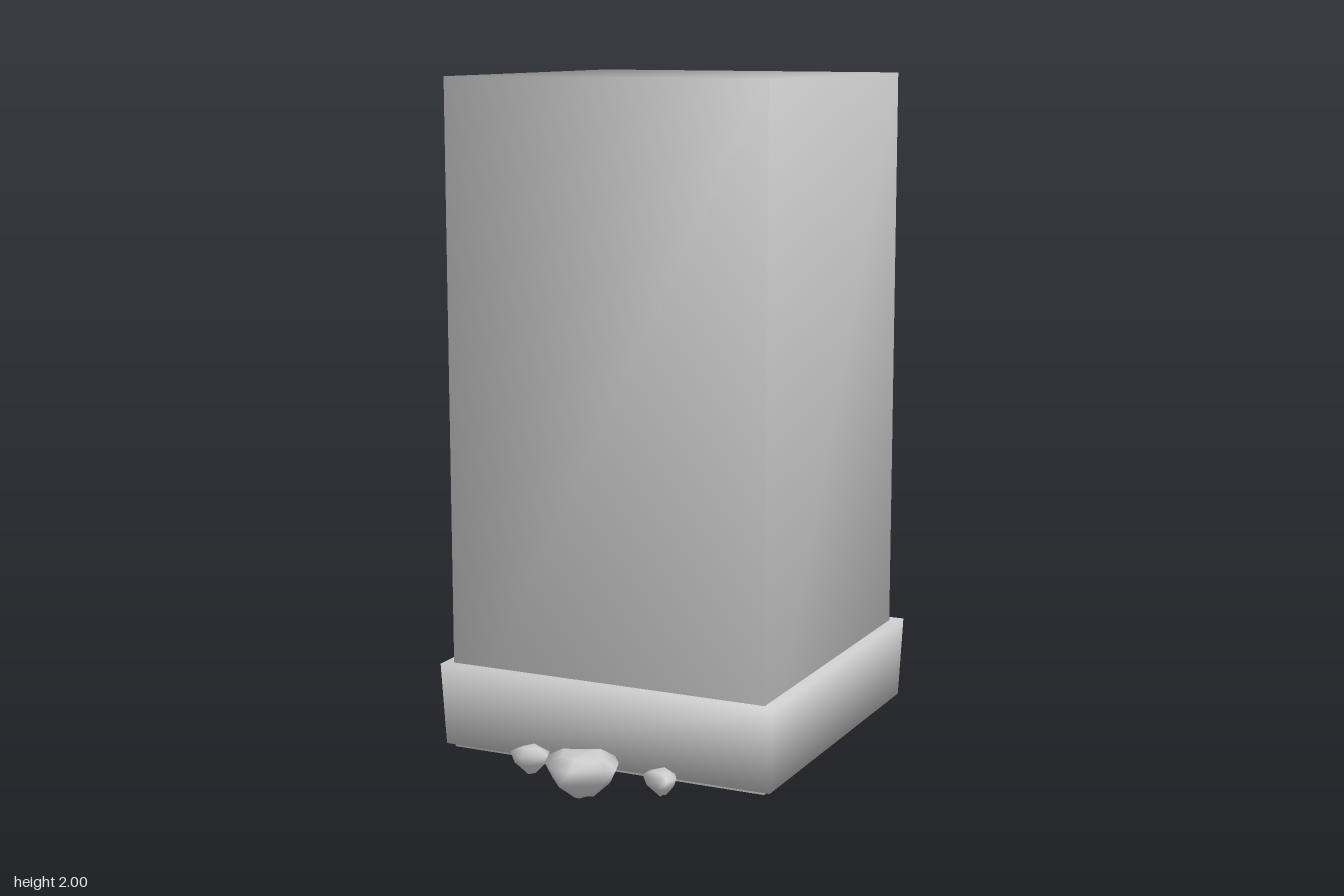
import * as THREE from 'three';
import { mergeVertices } from 'three/addons/utils/BufferGeometryUtils.js';

const stone = new THREE.MeshStandardMaterial({ color: 0xcccccc });
stone.name = 'pale stone';

// Box whose corners share one averaged normal, with an optional narrower foot
function softBox(width, y0, y1, footScale = 1) {
  let geo = new THREE.BoxGeometry(width, y1 - y0, width);
  const pos = geo.attributes.position;
  for (let i = 0; i < pos.count; i++) {
    if (pos.getY(i) < 0) {
      pos.setX(i, pos.getX(i) * footScale);
      pos.setZ(i, pos.getZ(i) * footScale);
    }
  }
  geo.translate(0, (y0 + y1) / 2, 0);
  geo.deleteAttribute('uv');
  geo.deleteAttribute('normal');
  geo = mergeVertices(geo);
  geo.computeVertexNormals();
  return geo;
}

// Faceted pebble: an outline (counterclockwise from above) stacked in scaled rings
function rockGeometry(outline, y0, y1) {
  const n = outline.length;
  const cx = outline.reduce((s, p) => s + p[0], 0) / n;
  const cz = outline.reduce((s, p) => s + p[1], 0) / n;
  const rings = [[0.06, 0.3], [0.42, 0.8], [0.8, 1], [0.97, 0.55]];
  const verts = [];
  const faces = [];
  rings.forEach(([t, s], r) => {
    outline.forEach(([x, z], i) => {
      const wobble = r === 2 ? 0 : 0.05 * Math.sin(i * 2.3 + r);
      verts.push(cx + (x - cx) * s, y0 + (y1 - y0) * (t + wobble), cz + (z - cz) * s);
      if (r < rings.length - 1) {
        const a = r * n + i, b = r * n + (i + 1) % n;
        faces.push(a, b, b + n, a, b + n, a + n);
      }
    });
  });
  const bottom = rings.length * n, top = bottom + 1, last = (rings.length - 1) * n;
  verts.push(cx, y0, cz, cx, y1, cz);
  for (let i = 0; i < n; i++) {
    const j = (i + 1) % n;
    faces.push(bottom, j, i, top, last + i, last + j);
  }
  const geo = new THREE.BufferGeometry();
  geo.setAttribute('position', new THREE.Float32BufferAttribute(verts, 3));
  geo.setIndex(faces);
  geo.computeVertexNormals();
  return geo;
}

export function createModel() {
  const model = new THREE.Group();
  model.name = 'stonePillar';
  const add = (name, geo) => {
    const mesh = new THREE.Mesh(geo, stone);
    mesh.name = name;
    model.add(mesh);
    return mesh;
  };

  // Tall square shaft, reaching slightly below the plinth
  add('shaft', softBox(0.996, 0.033, 2)).position.set(-0.002, 0, 0.005);

  // Plinth, a little narrower at the foot
  add('plinth', softBox(1.06, 0.045, 0.29, 0.98));

  // Pebbles lying along the front and back
  const rocks = [
    ['frontLargeRock', 0, 0.128, [[0.12, 0.67], [0.1, 0.615], [0.06, 0.56], [0, 0.54],
      [-0.1, 0.585], [-0.115, 0.63], [-0.09, 0.7], [-0.04, 0.745], [0.015, 0.748], [0.1, 0.69]]],
    ['frontRightRock', 0.02, 0.1, [[-0.135, 0.6], [-0.15, 0.56], [-0.2, 0.543],
      [-0.25, 0.57], [-0.255, 0.605], [-0.2, 0.637]]],
    ['frontLeftRock', 0.02, 0.09, [[0.272, 0.6], [0.25, 0.56], [0.21, 0.537],
      [0.168, 0.56], [0.17, 0.605], [0.235, 0.648], [0.26, 0.635]]],
    ['backLargeRock', 0, 0.128, [[0.195, -0.6], [0.16, -0.71], [0.09, -0.75], [0.01, -0.755],
      [-0.033, -0.68], [-0.035, -0.61], [0.02, -0.56], [0.08, -0.543], [0.14, -0.54]]],
    ['backRightRock', 0.02, 0.1, [[-0.08, -0.575], [-0.085, -0.615], [-0.14, -0.63],
      [-0.183, -0.6], [-0.18, -0.56], [-0.13, -0.535], [-0.09, -0.54]]],
    ['backLeftRock', 0.02, 0.1, [[0.33, -0.58], [0.315, -0.615], [0.28, -0.64],
      [0.23, -0.635], [0.23, -0.585], [0.26, -0.54], [0.31, -0.535]]],
  ];
  for (const [name, y0, y1, outline] of rocks) add(name, rockGeometry(outline, y0, y1));

  return model;
}
